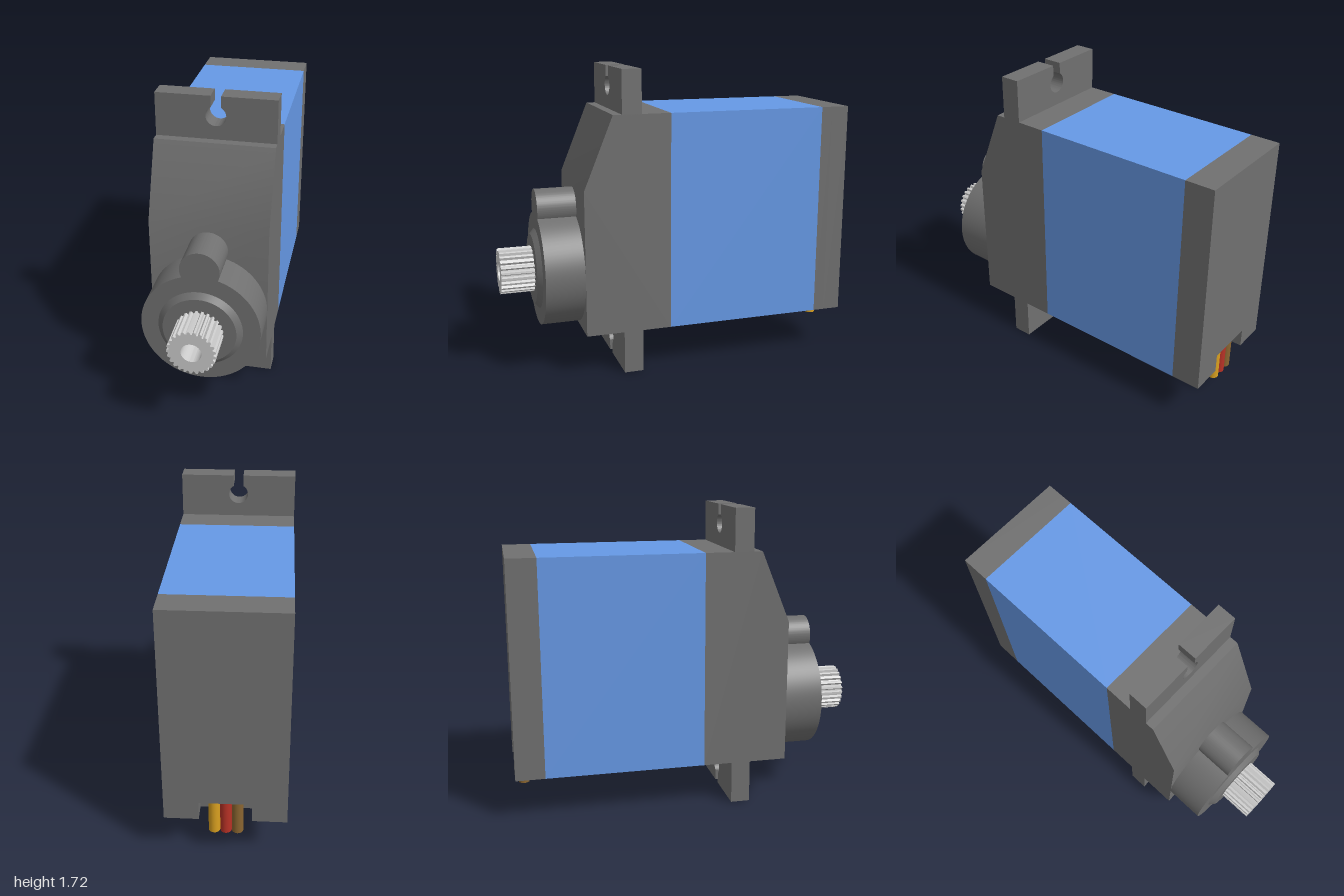
import * as THREE from 'three';
import { toCreasedNormals } from 'three/addons/utils/BufferGeometryUtils.js';

const W = 0.65, BOTTOM = 0.245, TOP = 1.475, SHAFT_Y = 0.57;

const paint = (color) => new THREE.MeshStandardMaterial({ color });
const shell = paint(0x707070);
const metal = paint(0xcccccc);
const blue = paint(0x6699e6);

function polygon(points) {
  return new THREE.Shape(points.map(([x, y]) => new THREE.Vector2(x, y)));
}

// Extrude an outline from z0 to z1, keeping round walls smooth and corners sharp
function extrude(shape, z0, z1) {
  const g = new THREE.ExtrudeGeometry(shape, { depth: z1 - z0, bevelEnabled: false, curveSegments: 40 });
  g.translate(0, 0, z0);
  return toCreasedNormals(g, 0.4);
}

function block(z0, z1) {
  const g = new THREE.BoxGeometry(W, TOP - BOTTOM, z1 - z0);
  g.translate(0, (TOP + BOTTOM) / 2, (z0 + z1) / 2);
  return g;
}

export function createModel() {
  const model = new THREE.Group();
  model.name = 'servoMotor';
  const add = (name, geometry, material) => {
    const mesh = new THREE.Mesh(geometry, material);
    mesh.name = name;
    model.add(mesh);
    return mesh;
  };

  // Middle case
  add('middleCase', block(-0.835, 0.075), blue);

  // Rear cap, with a cable notch at the bottom of its back half
  const h = W / 2, n = 0.14, notchTop = BOTTOM + 0.108;
  add('rearCapFront', block(-0.9, -0.835), shell);
  add('rearCapBack', extrude(polygon([
    [-h, BOTTOM], [-n, BOTTOM], [-n, notchTop], [n, notchTop], [n, BOTTOM],
    [h, BOTTOM], [h, TOP], [-h, TOP],
  ]), -1, -0.9), shell);

  // Front case: side profile (z, y) with a sloped upper front, swept across x
  const front = extrude(polygon([
    [0.075, BOTTOM], [0.565, BOTTOM], [0.565, 1.07], [0.4, TOP], [0.075, TOP],
  ]), -h, h);
  front.rotateY(-Math.PI / 2);
  add('frontCase', front, shell);

  // Mounting tabs with keyhole slots
  const slot = 0.028, r = 0.055, open = Math.asin(slot / r);
  const tab = new THREE.Shape();
  tab.moveTo(-h, 0);
  tab.lineTo(-slot, 0);
  tab.absarc(0, 0.11, r, -Math.PI / 2 - open, -Math.PI * 2.5 + open, true);
  tab.lineTo(slot, 0);
  tab.lineTo(h, 0);
  tab.lineTo(h, BOTTOM);
  tab.lineTo(-h, BOTTOM);
  const tabGeometry = extrude(tab, 0.24, 0.35);
  add('lowerTab', tabGeometry, shell);
  const upper = add('upperTab', tabGeometry, shell);
  upper.rotation.z = Math.PI;
  upper.position.y = 1.715;

  // Gear housing: large disc joined with a small round lobe above it
  const housing = new THREE.Shape();
  housing.absarc(0, SHAFT_Y, h, Math.PI - 1.266, Math.PI * 2 + 1.266, false);
  housing.absarc(0, 0.927, 0.107, -0.434, Math.PI + 0.434, false);
  add('gearHousing', extrude(housing, 0.56, 0.785), shell);

  // Chamfered collar around the shaft
  const collar = new THREE.CylinderGeometry(0.2, 0.23, 0.027, 64);
  collar.rotateX(Math.PI / 2);
  collar.translate(0, SHAFT_Y, 0.7985);
  add('shaftCollar', toCreasedNormals(collar, 0.4), shell);

  // Splined output shaft with a screw hole
  const teeth = 25, outline = [];
  for (let i = 0; i < teeth; i++) {
    for (const [step, radius] of [[0, 0.117], [0.25, 0.117], [0.45, 0.131], [0.8, 0.131]]) {
      const a = ((i + step) / teeth) * Math.PI * 2;
      outline.push([radius * Math.cos(a), SHAFT_Y + radius * Math.sin(a)]);
    }
  }
  const spline = polygon(outline);
  spline.holes.push(new THREE.Path().absarc(0, SHAFT_Y, 0.055, 0, Math.PI * 2, true));
  add('outputShaft', extrude(spline, 0.8, 1), metal);
  const floor = new THREE.CircleGeometry(0.06, 32);
  floor.translate(0, SHAFT_Y, 0.815);
  add('screwHoleFloor', floor, metal);

  // Three cable wires leaving the notch
  [['signalWire', 0xd9a020, 0.062], ['powerWire', 0xb83226, 0], ['groundWire', 0x8a6530, -0.062]]
    .forEach(([name, color, x]) => {
      const wire = new THREE.CylinderGeometry(0.031, 0.031, 0.24, 24);
      wire.translate(x, 0.255, -0.945);
      add(name, wire, paint(color));
    });

  return model;
}
